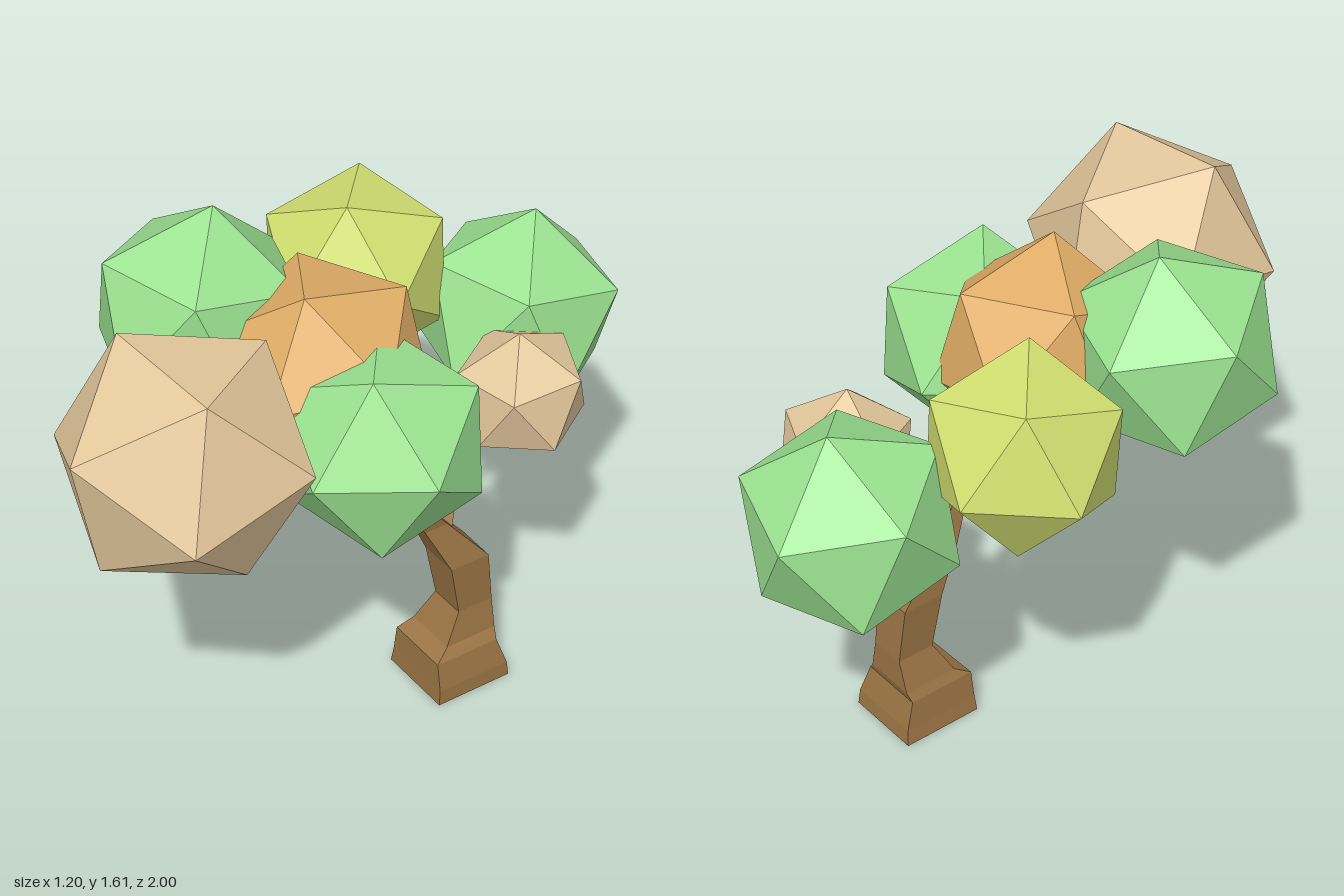
import * as THREE from 'three';

const V = (a) => new THREE.Vector3(...a);
const mat = (color) => {
  const m = new THREE.MeshStandardMaterial({ flatShading: true });
  m.color.set(color);
  return m;
};
const GREEN = 0x9ce391, TAN = 0xe4c89c, ORANGE = 0xe2af68, LIME = 0xd0df70, BARK = 0x9a7444;

// Orthonormal frame from a main direction and a second, roughly adjacent one
function frame(a, b) {
  const u = a.clone().normalize();
  const w = u.clone().cross(b).normalize();
  return new THREE.Matrix4().makeBasis(u, w.clone().cross(u), w);
}

// Icosahedron turned so that one corner points along a and a neighbour towards b
function foliage(name, color, centre, radius, a, b) {
  const g = new THREE.IcosahedronGeometry(radius, 0);
  const t = (1 + Math.sqrt(5)) / 2;
  const local = frame(V([-1, t, 0]), V([1, t, 0]));
  g.applyMatrix4(frame(V(a), V(b)).multiply(local.transpose()));
  const mesh = new THREE.Mesh(g, mat(color));
  mesh.name = name;
  mesh.position.set(...centre);
  return mesh;
}

// Four-sided trunk lofted through sections [y, x, z, scale]
function trunk(sections) {
  const corners = [[0.08, 0.16], [0.16, -0.085], [-0.08, -0.165], [-0.16, 0.085]];
  const pos = [], idx = [];
  for (const [y, x, z, s] of sections)
    for (const [cx, cz] of corners) pos.push(x + cx * s, y, z + cz * s);
  for (let i = 0; i < sections.length - 1; i++)
    for (let j = 0; j < 4; j++) {
      const a = i * 4 + j, b = i * 4 + (j + 1) % 4;
      idx.push(a, b, b + 4, a, b + 4, a + 4);
    }
  const top = (sections.length - 1) * 4;
  idx.push(0, 2, 1, 0, 3, 2, top, top + 1, top + 2, top, top + 2, top + 3);
  const g = new THREE.BufferGeometry();
  g.setAttribute('position', new THREE.Float32BufferAttribute(pos, 3));
  g.setIndex(idx);
  const flat = g.toNonIndexed();
  flat.computeVertexNormals();
  const mesh = new THREE.Mesh(flat, mat(BARK));
  mesh.name = 'trunk';
  return mesh;
}

// Tapered four-sided branch between two points
function branch(name, from, to, r0, r1) {
  const a = V(from), d = V(to).sub(a);
  const mesh = new THREE.Mesh(new THREE.CylinderGeometry(r1, r0, d.length(), 4), mat(BARK));
  mesh.name = name;
  mesh.position.copy(a).addScaledVector(d, 0.5);
  mesh.quaternion.setFromUnitVectors(new THREE.Vector3(0, 1, 0), d.normalize());
  return mesh;
}

export function createModel() {
  const tree = new THREE.Group();
  tree.name = 'tree';

  // Leaning trunk with a flared foot
  tree.add(trunk([
    [0, 0.285, -0.247, 1], [0.05, 0.287, -0.245, 0.96], [0.14, 0.278, -0.235, 0.84],
    [0.17, 0.283, -0.265, 0.68], [0.27, 0.298, -0.288, 0.47], [0.45, 0.287, -0.262, 0.52],
    [0.6, 0.246, -0.17, 0.31], [0.75, 0.24, -0.06, 0.17], [0.81, 0.233, -0.03, 0.14],
  ]));
  tree.add(branch('twig', [0.255, 0.55, -0.22], [0.225, 0.675, -0.345], 0.038, 0.002));

  // Branches fanning out of the fork into the crown
  const fork = [0.235, 0.79, -0.035];
  const upper = [0.14, 0.95, -0.045], front = [0.06, 0.885, 0.2], back = [0.15, 0.905, -0.28];
  const limbs = [
    [fork, upper, 0.026, 0.018], [upper, [0.08, 1.15, 0.03], 0.016, 0.012],
    [upper, [-0.1, 1.15, -0.26], 0.016, 0.01], [upper, [-0.22, 1.2, 0.12], 0.014, 0.01],
    [fork, front, 0.022, 0.016], [front, [0.04, 1.06, 0.5], 0.016, 0.012],
    [front, [0.24, 1.03, 0.17], 0.014, 0.01],
    [fork, back, 0.022, 0.016], [back, [0.36, 0.97, -0.38], 0.016, 0.01],
    [back, [0.16, 0.99, -0.58], 0.016, 0.012],
  ];
  limbs.forEach(([a, b, r0, r1], i) => tree.add(branch('branch' + (i + 1), a, b, r0, r1)));

  // Crown of faceted leaf clumps
  tree.add(
    foliage('frontFoliage', TAN, [0.043, 1.246, 0.66], 0.375, [-0.07, 0.12, 0.32], [-0.36, -0.04, 0.09]),
    foliage('rightFoliage', GREEN, [-0.315, 1.293, 0.175], 0.325, [0.01, 0.315, -0.06], [-0.17, 0.2, 0.2]),
    foliage('leftFoliage', GREEN, [0.312, 1.12, 0.155], 0.318, [0.06, 0.28, 0.115], [0.2, 0.21, -0.145]),
    foliage('centreFoliage', ORANGE, [0.055, 1.222, 0.082], 0.32, [0.03, 0.28, 0.115], [0.15, 0.19, -0.23]),
    foliage('backRightFoliage', LIME, [-0.177, 1.22, -0.36], 0.3, [0.2, 0.17, -0.15], [0.05, 0.27, 0.11]),
    foliage('backFoliage', GREEN, [0.165, 1.045, -0.69], 0.32, [0.01, 0.31, -0.065], [0, 0.085, -0.31]),
    foliage('backLeftFoliage', TAN, [0.388, 1.007, -0.405], 0.207, [0, 0.2, 0.02], [0.02, 0.09, -0.18]),
  );
  return tree;
}
